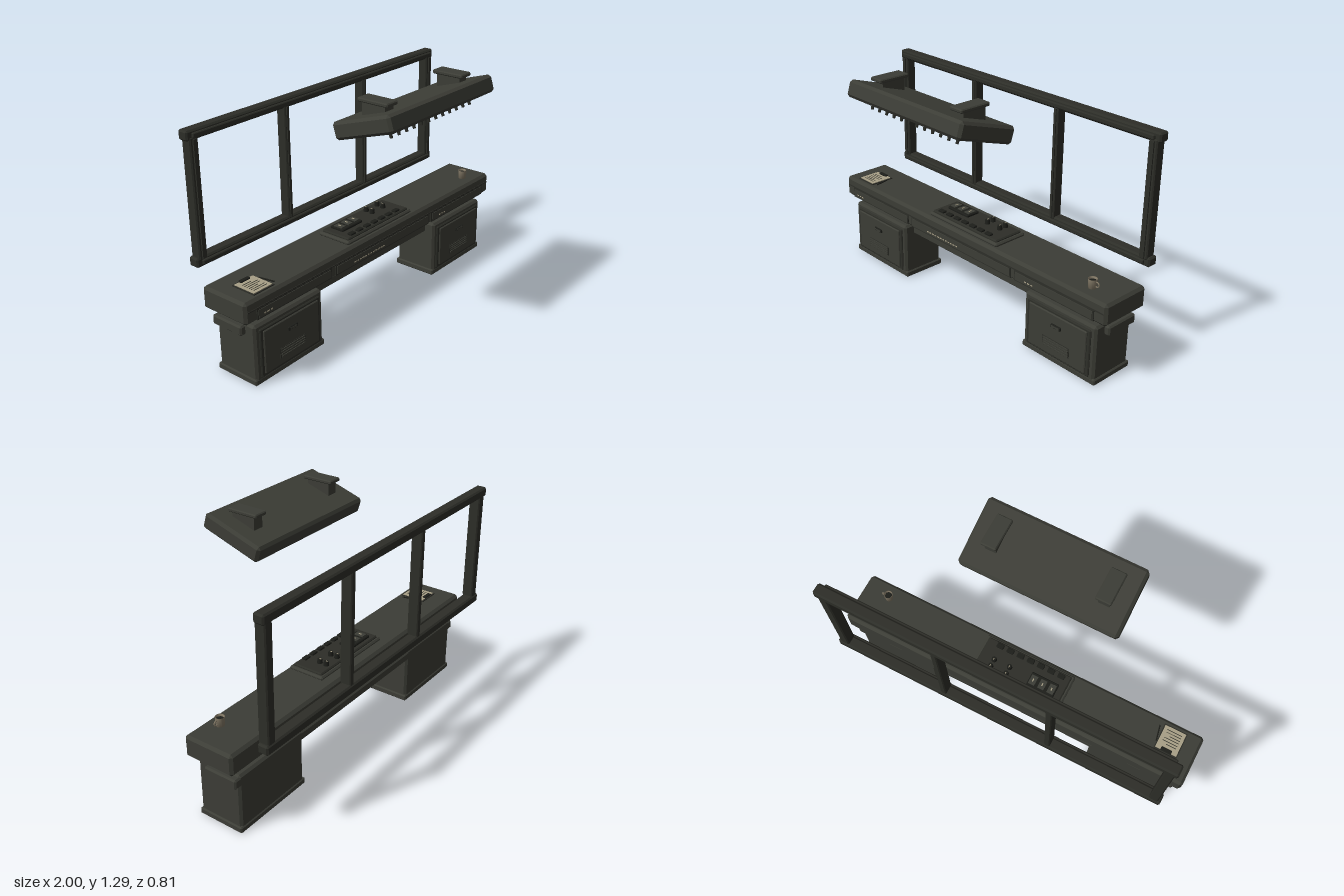
import * as THREE from 'three';
import { ConvexGeometry } from 'three/addons/geometries/ConvexGeometry.js';

const mat = (name, color) => Object.assign(new THREE.MeshStandardMaterial({ color }), { name });

// Box with every edge chamfered by c
function chamferBox(w, h, d, c) {
  const pts = [];
  for (const x of [-1, 1]) for (const y of [-1, 1]) for (const z of [-1, 1]) {
    const [X, Y, Z] = [x * w / 2, y * h / 2, z * d / 2];
    pts.push(new THREE.Vector3(X, Y - y * c, Z - z * c),
      new THREE.Vector3(X - x * c, Y, Z - z * c),
      new THREE.Vector3(X - x * c, Y - y * c, Z));
  }
  return new ConvexGeometry(pts);
}

export function createModel() {
  const body = mat('olive grey', 0x3c3d36);
  const frame = mat('dark olive frame', 0x2d2e28);
  const dark = mat('near black', 0x1d1e1a);
  const paper = mat('paper tan', 0xa89f86);
  const cup = mat('cup brown', 0x857b68);

  const root = new THREE.Group();
  root.name = 'controlDesk';
  const group = (name, parent = root) => {
    const g = new THREE.Group();
    g.name = name;
    parent.add(g);
    return g;
  };
  const add = (parent, name, geo, m, x = 0, y = 0, z = 0) => {
    const mesh = new THREE.Mesh(geo, m);
    mesh.name = name;
    mesh.position.set(x, y, z);
    parent.add(mesh);
    return mesh;
  };
  // Box given by its limits; c > 0 chamfers it
  const box = (parent, name, m, x0, x1, y0, y1, z0, z1, c = 0) => {
    const [w, h, d] = [x1 - x0, y1 - y0, z1 - z0];
    const geo = c ? chamferBox(w, h, d, c) : new THREE.BoxGeometry(w, h, d);
    return add(parent, name, geo, m, (x0 + x1) / 2, (y0 + y1) / 2, (z0 + z1) / 2);
  };

  // Desk slab with three raised fascia panels
  const desk = group('desk');
  box(desk, 'deskSlab', body, -1, 1, 0.36, 0.477, -0.25, 0.033, 0.014);
  box(desk, 'fasciaLip', frame, -0.985, 0.985, 0.424, 0.43, 0.03, 0.036);
  for (const [x0, x1] of [[-0.93, -0.42], [-0.39, 0.39], [0.415, 0.93]]) {
    box(desk, 'fasciaRim', frame, x0, x1, 0.368, 0.424, 0.03, 0.037);
    box(desk, 'fasciaPanel', body, x0 + 0.008, x1 - 0.008, 0.375, 0.418, 0.03, 0.04);
  }
  // Rows of small label dashes on the fascia
  for (const [start, count] of [[-0.89, 3], [-0.25, 12], [0.49, 3]])
    for (let i = 0; i < count; i++)
      box(desk, 'labelDash', paper, start + i * 0.021, start + i * 0.021 + 0.013, 0.386, 0.392, 0.039, 0.0415);

  // Cross rail running through both pedestals
  box(root, 'crossRail', body, -0.965, 0.965, 0.264, 0.316, -0.235, -0.043, 0.008);

  // Drawer pedestals
  for (const s of [-1, 1]) {
    const p = group(s > 0 ? 'leftPedestal' : 'rightPedestal');
    p.position.x = s * 0.705;
    box(p, 'cabinet', body, -0.232, 0.232, 0.02, 0.325, -0.235, 0.017, 0.012);
    box(p, 'plinth', body, -0.24, 0.24, 0.004, 0.038, -0.24, 0.018, 0.006);
    box(p, 'drawerRim', frame, -0.205, 0.205, 0.04, 0.3, 0.01, 0.025, 0.005);
    box(p, 'drawerFront', body, -0.187, 0.187, 0.055, 0.287, 0.015, 0.032, 0.004);
    box(p, 'pull', dark, -0.032, 0.032, 0.218, 0.238, 0.03, 0.041, 0.003);
    box(p, 'pullFace', body, -0.024, 0.024, 0.223, 0.233, 0.04, 0.043);
    box(p, 'ventPlate', frame, -0.088, 0.088, 0.092, 0.147, 0.03, 0.034);
    for (let i = 0; i < 4; i++)
      box(p, 'ventSlat', body, -0.082, 0.082, 0.096 + i * 0.013, 0.104 + i * 0.013, 0.03, 0.038);
  }

  // Window frame behind the desk
  const win = group('windowFrame');
  for (const [name, y0, y1] of [['bottomRail', 0.505, 0.555], ['topRail', 1.138, 1.188]]) {
    box(win, name, frame, -0.935, 0.935, y0, y1, -0.405, -0.346, 0.008);
    box(win, name + 'Strip', frame, -0.905, 0.905, y0 + 0.013, y1 - 0.013, -0.35, -0.333, 0.004);
  }
  for (const s of [-1, 1]) {
    box(win, 'sidePost', frame, s * 0.896 - 0.025, s * 0.896 + 0.025, 0.54, 1.155, -0.4, -0.342, 0.006);
    box(win, 'sideStrip', frame, s * 0.896 - 0.01, s * 0.896 + 0.01, 0.55, 1.145, -0.346, -0.335);
    box(win, 'mullion', frame, s * 0.3 - 0.016, s * 0.3 + 0.016, 0.54, 1.155, -0.4, -0.342, 0.005);
    box(win, 'mullionStrip', frame, s * 0.3 - 0.007, s * 0.3 + 0.007, 0.55, 1.145, -0.346, -0.336);
  }

  // Tilted overhead console with switches on its underside
  const over = group('overheadConsole');
  over.position.set(0, 1.187, 0.228);
  over.rotation.x = -0.305;
  box(over, 'housing', body, -0.42, 0.42, -0.044, 0.044, -0.175, 0.175, 0.014);
  box(over, 'underPanel', dark, -0.37, 0.37, -0.049, -0.04, -0.15, 0.14);
  for (let i = 0; i < 12; i++) {
    const x = (i - 5.5) * 0.0577;
    box(over, 'switchBase', frame, x - 0.02, x + 0.02, -0.055, -0.046, 0.05, 0.1);
    add(over, 'toggle', new THREE.CylinderGeometry(0.009, 0.007, 0.026, 8), frame, x, -0.066, 0.075);
    box(over, 'button', frame, x - 0.017, x + 0.017, -0.057, -0.046, -0.015, 0.022);
    box(over, 'lowerButton', frame, x - 0.017, x + 0.017, -0.054, -0.046, -0.125, -0.085);
  }

  // Ceiling brackets
  for (const s of [-1, 1]) {
    const b = group('ceilingBracket');
    b.position.x = s * 0.295;
    box(b, 'stem', body, -0.03, 0.03, 1.185, 1.28, 0.158, 0.292);
    box(b, 'plate', body, -0.041, 0.041, 1.276, 1.296, 0.137, 0.312, 0.005);
  }

  // Desktop control panel
  const panel = group('controlPanel');
  box(panel, 'panelBase', body, -0.263, 0.261, 0.474, 0.496, -0.192, 0.013, 0.008);
  box(panel, 'panelTop', frame, -0.248, 0.246, 0.49, 0.507, -0.178, 0, 0.006);
  box(panel, 'gaugeBlock', dark, -0.208, -0.05, 0.5, 0.519, -0.155, -0.072, 0.004);
  for (let i = 0; i < 3; i++) {
    const x = -0.183 + i * 0.054;
    box(panel, 'gauge', body, x - 0.018, x + 0.018, 0.517, 0.523, -0.14, -0.087);
    box(panel, 'gaugeMark', paper, x - 0.003, x + 0.003, 0.522, 0.525, -0.123, -0.106);
  }
  for (const x of [0.07, 0.162]) for (const z of [-0.145, -0.105]) {
    add(panel, 'knob', new THREE.CylinderGeometry(0.012, 0.015, 0.024, 12), dark, x, 0.518, z);
    box(panel, 'knobMark', paper, x - 0.002, x + 0.002, 0.529, 0.532, z - 0.009, z + 0.002);
  }
  for (let i = 0; i < 7; i++) {
    const x = -0.195 + i * 0.0605;
    box(panel, 'key', dark, x - 0.02, x + 0.02, 0.502, 0.517, -0.036, -0.01, 0.003);
  }

  // Clipboard with ruled paper and a pencil
  const clip = group('clipboard');
  box(clip, 'board', frame, -0.915, -0.785, 0.476, 0.482, -0.138, 0.006);
  box(clip, 'sheet', paper, -0.909, -0.791, 0.481, 0.485, -0.13, 0);
  box(clip, 'clip', dark, -0.88, -0.82, 0.483, 0.493, -0.135, -0.113, 0.003);
  for (let i = 0; i < 6; i++)
    box(clip, 'ruledLine', frame, -0.893, i % 3 ? -0.81 : -0.835, 0.484, 0.4862, -0.095 + i * 0.015, -0.092 + i * 0.015);
  const pencil = add(clip, 'pencil', new THREE.CylinderGeometry(0.004, 0.004, 0.085, 6), dark, -0.774, 0.481, -0.055);
  pencil.rotation.set(Math.PI / 2, 0, -0.2);

  // Cup with a dark drink and a handle
  const mug = group('cup');
  mug.position.set(0.844, 0.477, -0.048);
  const profile = [[0, 0], [0.02, 0], [0.024, 0.048], [0.021, 0.048], [0.019, 0.036]]
    .map(([x, y]) => new THREE.Vector2(x, y));
  const cupMat = cup;
  add(mug, 'cupWall', new THREE.LatheGeometry(profile, 16), cupMat);
  const drink = add(mug, 'drink', new THREE.CircleGeometry(0.0195, 16), dark, 0, 0.037, 0);
  drink.rotation.x = -Math.PI / 2;
  add(mug, 'handle', new THREE.TorusGeometry(0.013, 0.0035, 6, 12), cupMat, 0.026, 0.025, 0);

  return root;
}
